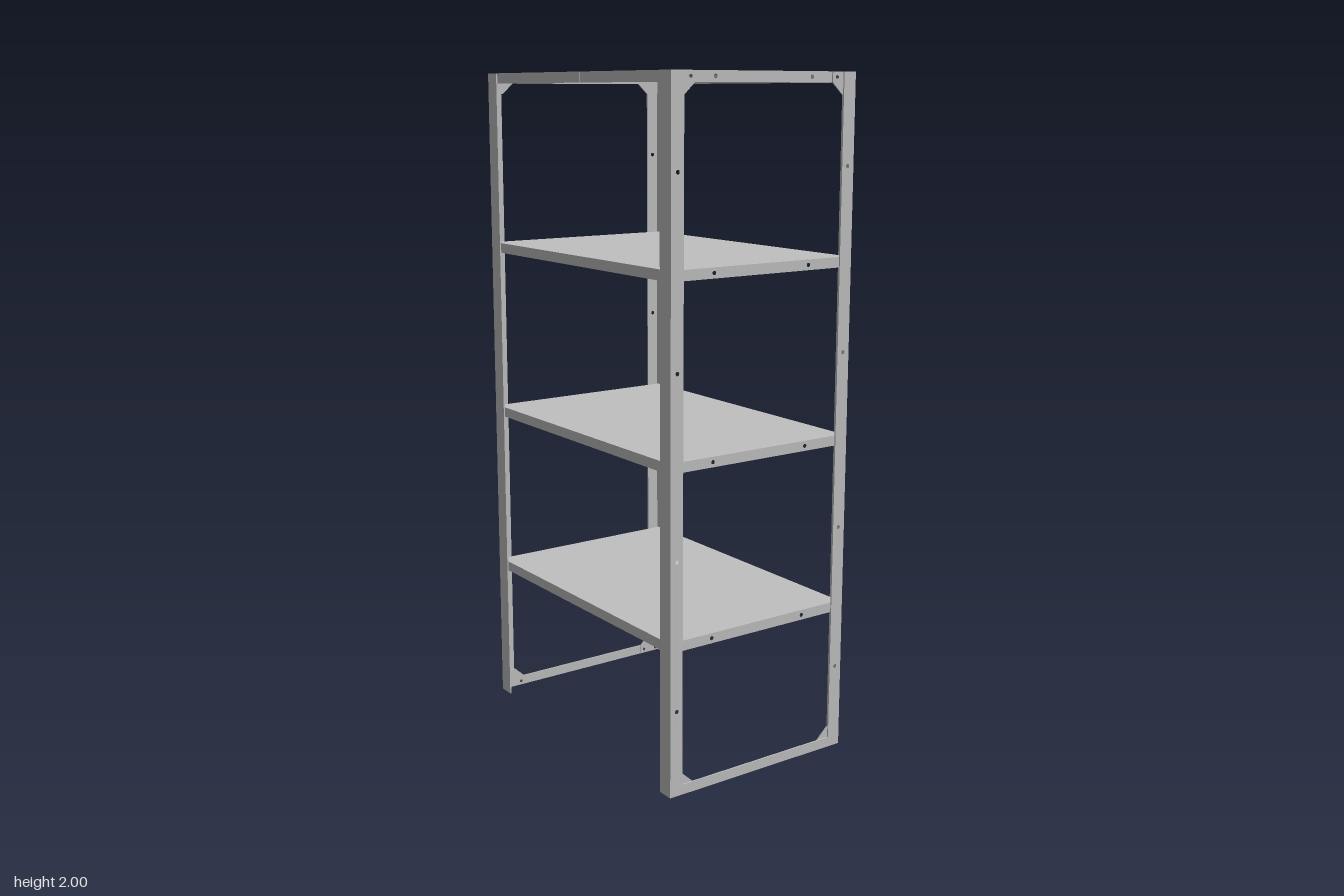
import * as THREE from 'three';

export function createModel() {
  const root = new THREE.Group();
  root.name = 'shelvingUnit';
  const steel = new THREE.MeshStandardMaterial({ color: 0xc0c0c0 });
  steel.name = 'light grey steel';
  const boltSteel = new THREE.MeshStandardMaterial({ color: 0x4a4a4a });
  boltSteel.name = 'dark bolt';

  const W = 0.48, D = 0.315, T = 0.004;      // outer half width, half depth, sheet thickness
  const lip = 0.03, shelfX = 0.47, shelfZ = D - T;
  const shelfTops = [0.456, 0.967, 1.487, 2.0];

  function add(parent, name, geometry, material = steel) {
    const mesh = new THREE.Mesh(geometry, material);
    mesh.name = name;
    parent.add(mesh);
    return mesh;
  }

  // Box given by its minimum and maximum corners
  function box(parent, name, x0, x1, y0, y1, z0, z1) {
    const mesh = add(parent, name, new THREE.BoxGeometry(x1 - x0, y1 - y0, z1 - z0));
    mesh.position.set((x0 + x1) / 2, (y0 + y1) / 2, (z0 + z1) / 2);
    return mesh;
  }

  // Upright sheet seen from the side: outline and round holes given as [z, y]
  function sidePlate(parent, name, side, outerX, outline, holes = []) {
    const shape = new THREE.Shape(outline.map(([z, y]) => new THREE.Vector2(-z, y)));
    for (const [z, y] of holes) {
      shape.holes.push(new THREE.Path().absarc(-z, y, 0.006, 0, Math.PI * 2, true));
    }
    const g = new THREE.ExtrudeGeometry(shape, { depth: T, bevelEnabled: false, curveSegments: 8 });
    g.rotateY(Math.PI / 2);
    g.translate(side > 0 ? outerX - T : -outerX, 0, 0);
    return add(parent, name, g);
  }
  const rect = (z0, z1, y0, y1) => [[z0, y0], [z1, y0], [z1, y1], [z0, y1]];

  function bolt(parent, side, y, z) {
    const mesh = add(parent, 'bolt', new THREE.CylinderGeometry(0.005, 0.005, 0.007, 10), boltSteel);
    mesh.rotation.z = Math.PI / 2;
    mesh.position.set(side * 0.474, y, z);
  }

  // Shelves: folded trays, open underneath
  shelfTops.forEach((top, i) => {
    const shelf = new THREE.Group();
    shelf.name = 'shelf' + (i + 1);
    root.add(shelf);
    box(shelf, 'shelfTop', -shelfX, shelfX, top - T, top, -shelfZ, shelfZ);
    for (const s of [-1, 1]) {
      const z = s * (shelfZ - T / 2);
      box(shelf, s > 0 ? 'frontLip' : 'backLip', -shelfX, shelfX, top - lip, top - T, z - T / 2, z + T / 2);
      const y = top - lip / 2;
      sidePlate(shelf, s > 0 ? 'leftLip' : 'rightLip', s, shelfX,
        rect(-shelfZ + T, shelfZ - T, top - lip, top - T), [[-0.165, y], [0.165, y]]);
      for (const e of [-1, 1]) bolt(shelf, s, y, e * 0.285);
    }
  });

  // Blank plate on the top shelf's front lip
  box(root, 'lipPlate', -0.04, 0.04, 1.971, 1.999, shelfZ, shelfZ + 0.002);

  // Side frames: two angle legs, a foot bar and four corner gussets each
  for (const s of [-1, 1]) {
    const frame = new THREE.Group();
    frame.name = s > 0 ? 'leftFrame' : 'rightFrame';
    root.add(frame);

    for (const e of [-1, 1]) {
      const leg = new THREE.Group();
      leg.name = e > 0 ? 'frontLeg' : 'backLeg';
      frame.add(leg);
      const z = e * (D - T / 2), x = s * (W - 0.025);
      box(leg, 'legFace', x - 0.025, x + 0.025, 0, 2, z - T / 2, z + T / 2);
      const inner = e * 0.273, outer = e * (D - T);
      sidePlate(leg, 'legSide', s, W,
        rect(Math.min(inner, outer), Math.max(inner, outer), 0, 2),
        [0.255, 0.69, 1.213, 1.742].map(y => [e * 0.293, y]));

      // Chamfered gussets at foot and top
      for (const top of [false, true]) {
        const Y = y => (top ? 2 - y : y);
        sidePlate(frame, top ? 'topGusset' : 'footGusset', s, W - T,
          [[0.31, 0.002], [0.235, 0.002], [0.235, 0.03], [0.27, 0.062], [0.31, 0.062]]
            .map(([pz, py]) => [e * pz, Y(py)]));
        bolt(frame, s, Y(0.015), e * 0.25);
        bolt(frame, s, Y(0.012), e * 0.298);
      }
    }
    sidePlate(frame, 'footBar', s, W, rect(-0.273, 0.273, 0, 0.03));
  }
  return root;
}
